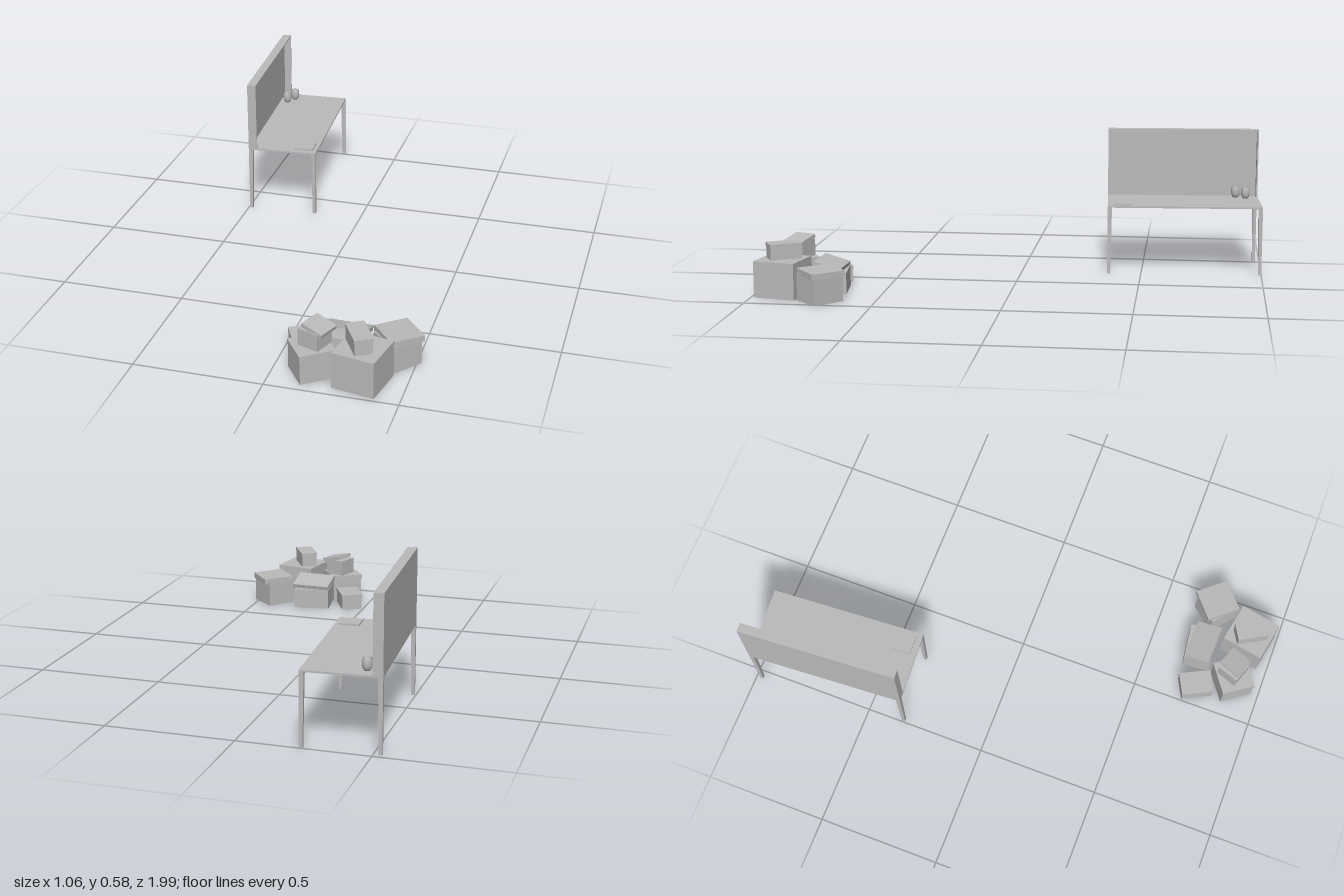
import * as THREE from 'three';

const grey = new THREE.MeshStandardMaterial({ color: 0xbababa, side: THREE.DoubleSide });
grey.name = 'plain grey';

function add(parent, name, geometry, x, y, z) {
  const mesh = new THREE.Mesh(geometry, grey);
  mesh.name = name;
  mesh.position.set(x, y, z);
  parent.add(mesh);
  return mesh;
}

const block = (parent, name, w, h, d, x, y, z) =>
  add(parent, name, new THREE.BoxGeometry(w, h, d), x, y, z);

// Leg whose outer corner stays plumb while the inner sides taper to the foot
function legGeometry(sx, sz) {
  const top = 0.018, foot = 0.013, h = 0.281;
  const g = new THREE.BoxGeometry(top, h, top);
  const p = g.attributes.position;
  for (let i = 0; i < p.count; i++) {
    if (p.getY(i) > 0) continue;
    if (p.getX(i) * sx < 0) p.setX(i, sx * (top / 2 - foot));
    if (p.getZ(i) * sz < 0) p.setZ(i, sz * (top / 2 - foot));
  }
  g.computeVertexNormals();
  return g;
}

function createDesk() {
  const desk = new THREE.Group();
  desk.name = 'desk';
  const w = 0.296, d = 0.643, top = 0.287, high = 0.579, deep = 0.037, t = 0.006;
  block(desk, 'deskTop', w, 0.007, d, 0, top - 0.0035, 0);
  for (const sx of [-1, 1]) for (const sz of [-1, 1])
    add(desk, 'leg', legGeometry(sx, sz), sx * (w / 2 - 0.009), 0.1405, sz * (d / 2 - 0.009));

  // Shallow privacy screen, open towards the user
  const screen = new THREE.Group();
  screen.name = 'screen';
  desk.add(screen);
  const sh = high - 0.281, sy = (high + 0.281) / 2;
  block(screen, 'screenPanel', t, sh, d, -w / 2 + t / 2, sy, 0);
  block(screen, 'screenTop', deep, t, d, -w / 2 + deep / 2, high - t / 2, 0);
  for (const s of [-1, 1])
    block(screen, 'screenEnd', deep, sh, t, -w / 2 + deep / 2, sy, s * (d / 2 - t / 2));

  desk.position.set(-0.366, 0, -0.671);
  desk.rotation.y = 0.06;
  return desk;
}

// Carton with an optional lid; the lid may sit turned, shifted and tilted
function createCarton({ name, size, at, turn, lid }) {
  const carton = new THREE.Group();
  carton.name = name;
  const [w, h, d] = size, [x, y, z] = at;
  block(carton, 'cartonBody', w, h, d, x, y + h / 2, z).rotation.y = turn;
  if (lid) {
    const [lw, lh, ld] = lid.size, [lx, ly, lz] = lid.at;
    block(carton, 'cartonLid', lw, lh, ld, lx, ly, lz)
      .rotation.set(lid.tiltX || 0, lid.turn, lid.tiltZ || 0, 'YXZ');
  }
  return carton;
}

export function createModel() {
  const model = new THREE.Group();
  model.name = 'deskAndCartons';
  model.add(createDesk());

  // Notebook near the front corner of the desk
  block(model, 'notebook', 0.079, 0.007, 0.075, -0.26, 0.2905, -0.418).rotation.y = 0.05;

  // Two rounded cups beside the screen
  const profile = [[0, 0], [0.011, 0], [0.016, 0.008], [0.0185, 0.02], [0.018, 0.034],
    [0.016, 0.044], [0.014, 0.044], [0.0145, 0.032], [0, 0.032]]
    .map(([r, y]) => new THREE.Vector2(r, y));
  const cup = new THREE.LatheGeometry(profile, 20);
  add(model, 'cup', cup, -0.463, 0.287, -0.933);
  add(model, 'cup', cup, -0.488, 0.287, -0.891);

  // Heap of cartons
  const cartons = [
    { name: 'smallCarton', size: [0.09, 0.064, 0.128], at: [0.075, 0, 0.741], turn: 0.47,
      lid: { size: [0.094, 0.016, 0.132], at: [0.075, 0.06, 0.741], turn: 0.47 } },
    { name: 'leftCarton', size: [0.134, 0.114, 0.132], at: [0.145, 0, 0.876], turn: 0.62,
      lid: { size: [0.139, 0.022, 0.137], at: [0.145, 0.107, 0.876], turn: 0.62 } },
    { name: 'leftUpperCarton', size: [0.088, 0.068, 0.088], at: [0.155, 0.118, 0.865], turn: -0.36,
      lid: { size: [0.092, 0.015, 0.092], at: [0.17, 0.191, 0.863], turn: -0.38, tiltZ: -0.22 } },
    { name: 'rearCarton', size: [0.155, 0.085, 0.11], at: [0.235, 0, 0.704], turn: 0.12,
      lid: { size: [0.167, 0.018, 0.108], at: [0.236, 0.108, 0.714], turn: -0.04, tiltX: -0.28 } },
    { name: 'largeCarton', size: [0.167, 0.145, 0.172], at: [0.339, 0, 0.887], turn: -0.19 },
    { name: 'largeUpperCarton', size: [0.068, 0.06, 0.125], at: [0.325, 0.145, 0.884], turn: 0.52,
      lid: { size: [0.072, 0.014, 0.129], at: [0.325, 0.201, 0.884], turn: 0.52 } },
    { name: 'rightCarton', size: [0.125, 0.11, 0.13], at: [0.427, 0, 0.716], turn: 0.85,
      lid: { size: [0.136, 0.024, 0.14], at: [0.431, 0.115, 0.711], turn: 0.7, tiltZ: -0.02 } },
  ];
  for (const spec of cartons) model.add(createCarton(spec));
  return model;
}
